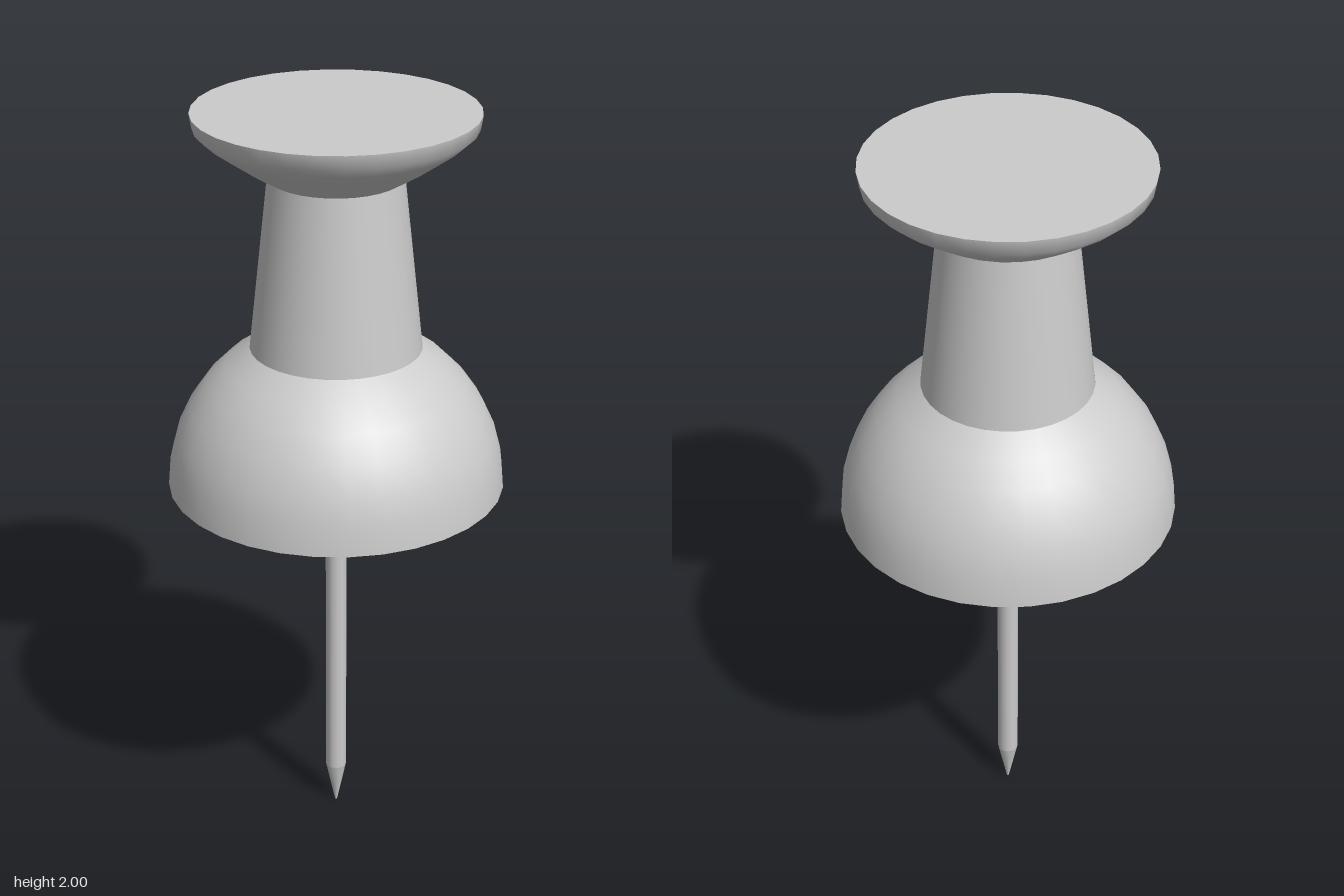
import * as THREE from 'three';

const material = new THREE.MeshStandardMaterial({ color: 0xcccccc });

// Smooth lathe section; points run from bottom to top
function turned(points, sides = 32) {
  return new THREE.LatheGeometry(points.map(([r, y]) => new THREE.Vector2(r, y)), sides);
}

export function createModel() {
  const group = new THREE.Group();
  group.name = 'pushPin';

  const add = (name, geometry, y = 0) => {
    const mesh = new THREE.Mesh(geometry, material);
    mesh.name = name;
    mesh.position.y = y;
    group.add(mesh);
    return mesh;
  };

  // Domed base: part of a sphere cut off where the grip begins
  const domeRadius = 0.436, domeY = 1.01;
  const endAngle = Math.acos(0.22 / domeRadius);
  const dome = [];
  for (let i = 0; i <= 6; i++) {
    const a = (endAngle * i) / 6;
    dome.push([domeRadius * Math.cos(a), domeRadius * Math.sin(a)]);
  }
  add('dome', turned(dome), domeY);
  add('domeUnderside', new THREE.CircleGeometry(domeRadius, 32).rotateX(Math.PI / 2), domeY);

  // Tapered grip
  add('grip', new THREE.CylinderGeometry(0.17, 0.22, 0.45, 32, 1, true), 1.61);

  // Flared head with a flat top
  add('head', turned([
    [0.17, 1.835], [0.225, 1.868], [0.275, 1.903], [0.32, 1.935], [0.35, 1.963], [0.356, 2],
  ]));
  add('headTop', new THREE.CircleGeometry(0.356, 32).rotateX(-Math.PI / 2), 2);

  // Needle shaft and its pointed tip
  add('needle', new THREE.CylinderGeometry(0.028, 0.028, 0.89, 12, 1, true), 0.565);
  add('needleTip', new THREE.CylinderGeometry(0.028, 0.003, 0.12, 12), 0.06);

  return group;
}
